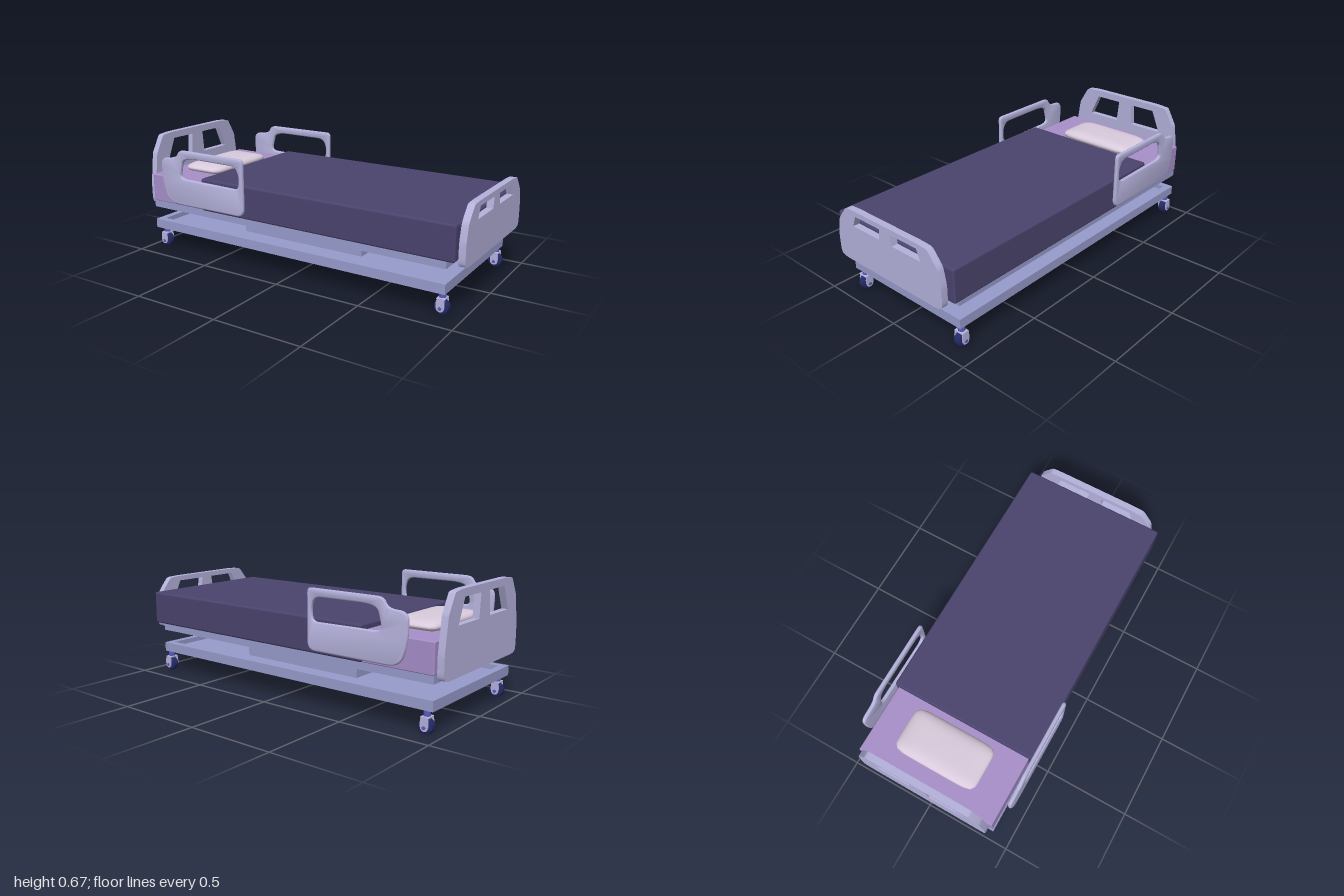
import * as THREE from 'three';
import { toCreasedNormals } from 'three/addons/utils/BufferGeometryUtils.js';
import { RoundedBoxGeometry } from 'three/addons/geometries/RoundedBoxGeometry.js';

const mat = (color) => new THREE.MeshStandardMaterial({ color });
const FRAME = mat(0x979bcb), BOARD = mat(0xb5b2dc), SHEET = mat(0xa78fc9), BLANKET = mat(0x4a446e);
const PILLOW = mat(0xd9cbdc), STEM = mat(0x5a5ac0), TYRE = mat(0x222a66);

function add(parent, name, geo, material, x = 0, y = 0, z = 0) {
  const mesh = new THREE.Mesh(geo, material);
  mesh.name = name;
  mesh.position.set(x, y, z);
  parent.add(mesh);
}

// Box given by its min and max along each axis
function slab(parent, name, material, [x0, x1], [y0, y1], [z0, z1], radius = 0) {
  const size = [x1 - x0, y1 - y0, z1 - z0];
  const geo = radius ? new RoundedBoxGeometry(...size, 3, radius) : new THREE.BoxGeometry(...size);
  add(parent, name, geo, material, (x0 + x1) / 2, (y0 + y1) / 2, (z0 + z1) / 2);
}

// Closed outline; each point is [x, y, cornerRadius], radius 0 keeps the corner sharp
function outline(path, pts) {
  const v = pts.map((p) => new THREE.Vector2(p[0], p[1]));
  const n = v.length;
  v.forEach((p, i) => {
    const radius = pts[i][2];
    const toward = (q) => {
      const d = q.clone().sub(p);
      const len = d.length();
      return p.clone().addScaledVector(d, Math.min(radius, len * 0.48) / len);
    };
    const a = toward(v[(i + n - 1) % n]), b = toward(v[(i + 1) % n]);
    if (i) path.lineTo(a.x, a.y); else path.moveTo(a.x, a.y);
    if (radius) path.quadraticCurveTo(p.x, p.y, b.x, b.y);
  });
  path.closePath();
  return path;
}

// End board: half outline mirrored, with two slanted hand holes
function endBoard(parent, name, x, half, hole) {
  const mirror = (pts) => pts.map(([a, b, r]) => [-a, b, r]).reverse();
  const shape = outline(new THREE.Shape(), [...half, ...mirror(half)]);
  shape.holes.push(outline(new THREE.Path(), hole), outline(new THREE.Path(), mirror(hole)));
  const geo = new THREE.ExtrudeGeometry(shape, { depth: 0.036, bevelEnabled: false, curveSegments: 4 });
  geo.translate(0, 0, -0.018).rotateY(-Math.PI / 2);
  add(parent, name, toCreasedNormals(geo, 0.5), BOARD, x);
}

// Side rail with a long grip opening and fully rounded edges
function railGeometry() {
  const shape = outline(new THREE.Shape(), [
    [-0.8, 0.31, 0.07], [-0.25, 0.31, 0.05], [-0.25, 0.632, 0.025], [-0.705, 0.632, 0.04],
    [-0.73, 0.582, 0.04], [-0.845, 0.575, 0.05], [-0.84, 0.42, 0.06]]);
  shape.holes.push(outline(new THREE.Path(), [
    [-0.7, 0.468, 0.05], [-0.285, 0.462, 0.03], [-0.275, 0.53, 0.04], [-0.3, 0.588, 0.04],
    [-0.67, 0.59, 0.09], [-0.69, 0.52, 0.03]]));
  const geo = new THREE.ExtrudeGeometry(shape, {
    depth: 0.002, bevelThickness: 0.01, bevelSize: 0.011, bevelOffset: -0.011, bevelSegments: 4, curveSegments: 6 });
  geo.translate(0, 0, -0.001);
  return toCreasedNormals(geo, 0.8);
}

// Cushion: a sphere pushed out to a rounded rectangle in plan
function pillowGeometry(a, b, c) {
  const geo = new THREE.SphereGeometry(1, 48, 20);
  const p = geo.attributes.position;
  for (let i = 0; i < p.count; i++) {
    const x = p.getX(i), z = p.getZ(i), angle = Math.atan2(z, x);
    const cx = Math.cos(angle), cz = Math.sin(angle);
    const k = Math.sqrt(Math.hypot(x, z)) / (cx ** 8 + cz ** 8) ** (1 / 8);
    p.setXYZ(i, a * k * cx, b * p.getY(i), c * k * cz);
  }
  geo.computeVertexNormals();
  return geo;
}

function caster(x, z) {
  const g = new THREE.Group();
  g.name = 'caster';
  g.position.set(x, 0, z);
  // Tyre with rounded shoulders
  const profile = [[0, -0.02], [0.03, -0.02], [0.037, -0.016], [0.04, -0.006], [0.04, 0.006], [0.037, 0.016], [0.03, 0.02], [0, 0.02]]
    .map(([r, y]) => new THREE.Vector2(r, y));
  add(g, 'wheel', toCreasedNormals(new THREE.LatheGeometry(profile, 20).rotateX(Math.PI / 2), 0.6), TYRE, 0, 0.04, 0);
  add(g, 'axle', new THREE.CylinderGeometry(0.009, 0.009, 0.066, 12).rotateX(Math.PI / 2), STEM, 0, 0.036, 0);
  add(g, 'stem', new THREE.CylinderGeometry(0.018, 0.018, 0.036, 16), STEM, 0, 0.102, 0);
  add(g, 'forkCrown', new RoundedBoxGeometry(0.044, 0.01, 0.058, 2, 0.004), BOARD, 0, 0.084, 0);
  // Tapered fork cheeks on both sides of the wheel
  const cheek = outline(new THREE.Shape(), [
    [-0.016, 0.018, 0.015], [0.016, 0.018, 0.015], [0.024, 0.05, 0.015],
    [0.018, 0.088, 0.008], [-0.018, 0.088, 0.008], [-0.024, 0.05, 0.015]]);
  for (const s of [-1, 1]) {
    const geo = new THREE.ExtrudeGeometry(cheek, { depth: 0.006, bevelEnabled: false, curveSegments: 4 });
    add(g, 'forkCheek', toCreasedNormals(geo, 0.6), BOARD, 0, 0, s * 0.026 - 0.003);
  }
  return g;
}

export function createModel() {
  const bed = new THREE.Group();
  bed.name = 'hospitalBed';
  const L = [-0.96, 0.915], rim = 0.04;

  // Wheeled base: shallow tray with a raised rim
  slab(bed, 'baseFloor', FRAME, [L[0] + 0.01, L[1] - 0.01], [0.12, 0.145], [-0.39, 0.39]);
  for (const z of [-0.4, 0.4 - rim]) slab(bed, 'baseSideRim', FRAME, L, [0.119, 0.172], [z, z + rim]);
  for (const x of [L[0], L[1] - rim]) slab(bed, 'baseEndRim', FRAME, [x, x + rim], [0.119, 0.172], [-0.36, 0.36]);

  // Lift column and mattress platform
  slab(bed, 'liftBlock', FRAME, [-0.41, 0.365], [0.14, 0.245], [-0.233, 0.231]);
  slab(bed, 'platform', FRAME, L, [0.25, 0.295], [-0.4, 0.4]);

  // Bedding
  slab(bed, 'mattress', SHEET, [-0.962, 0.91], [0.29, 0.45], [-0.405, 0.402], 0.006);
  slab(bed, 'blanket', BLANKET, [-0.57, 0.963], [0.293, 0.481], [-0.425, 0.422], 0.012);
  add(bed, 'pillow', pillowGeometry(0.13, 0.034, 0.243), PILLOW, -0.74, 0.468, -0.007);

  // Head and foot boards
  const lower = [[0.335, 0.256, 0.03], [0.372, 0.264, 0.02], [0.38, 0.29, 0.02], [0.38, 0.385, 0.02]];
  endBoard(bed, 'headboard', -0.982,
    [...lower, [0.355, 0.565, 0.01], [0.298, 0.665, 0.01], [0.23, 0.672, 0.02]],
    [[0.045, 0.632, 0], [0.207, 0.632, 0], [0.262, 0.505, 0], [0.056, 0.505, 0]]);
  endBoard(bed, 'footboard', 0.982,
    [...lower, [0.36, 0.477, 0.02], [0.297, 0.553, 0.015], [0.23, 0.557, 0.02]],
    [[0.038, 0.528, 0], [0.224, 0.528, 0], [0.248, 0.468, 0], [0.047, 0.468, 0]]);

  // Side rails near the head
  const rail = railGeometry();
  add(bed, 'leftRail', rail, BOARD, 0, 0, 0.437);
  add(bed, 'rightRail', rail, BOARD, 0, 0, -0.434);

  // Four casters
  for (const x of [-0.918, 0.887]) for (const z of [0.358, -0.377]) bed.add(caster(x, z));
  return bed;
}
